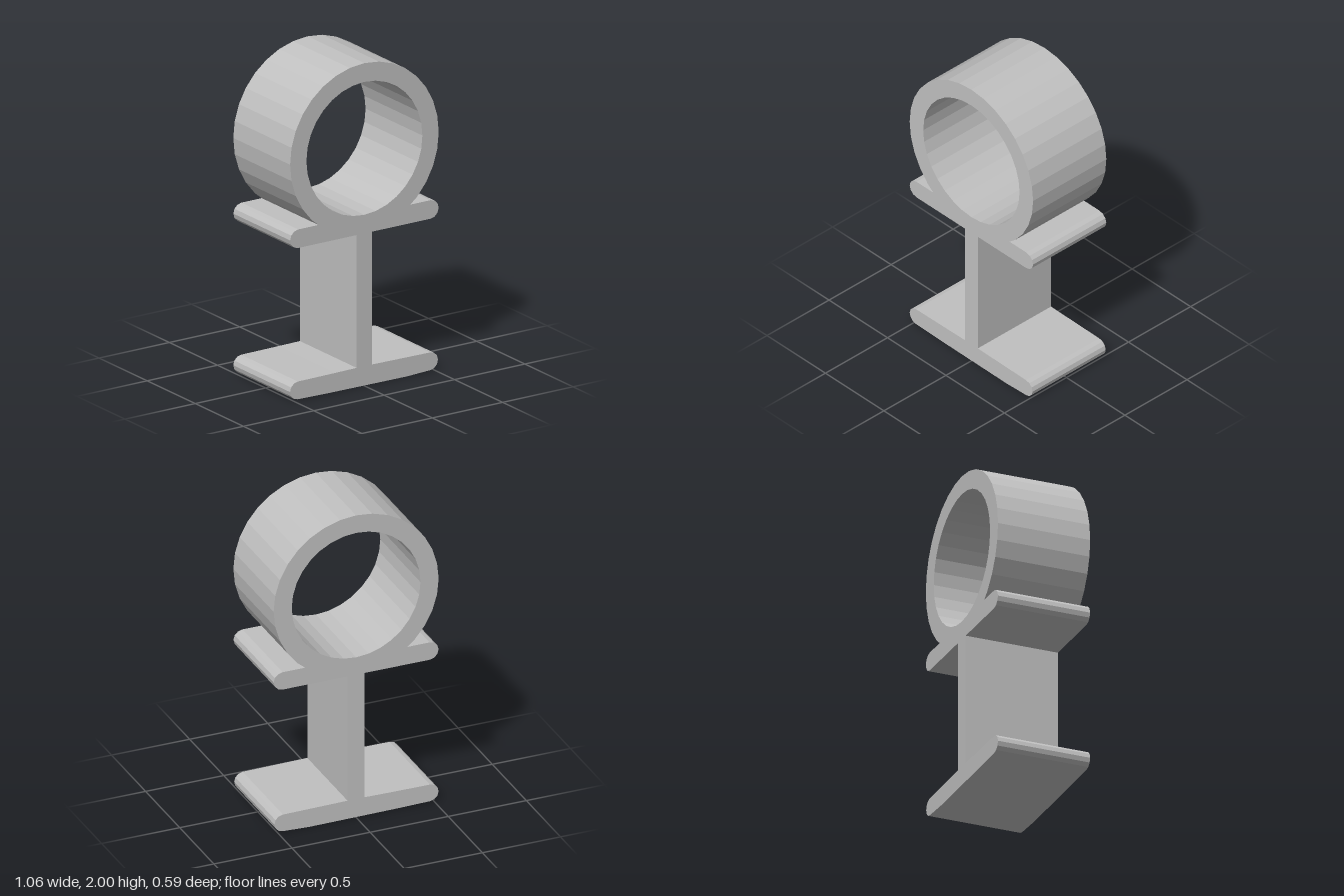
import * as THREE from 'three';

const DEPTH = 0.59;
const RING_Y = 1.472;

// Points along an arc, angles in degrees
function arc(cx, cy, r, from, to, segments) {
  const points = [];
  for (let i = 0; i <= segments; i++) {
    const a = THREE.MathUtils.degToRad(from + ((to - from) * i) / segments);
    points.push(new THREE.Vector2(cx + r * Math.cos(a), cy + r * Math.sin(a)));
  }
  return points;
}

const p = (x, y) => new THREE.Vector2(x, y);

export function createModel() {
  const group = new THREE.Group();
  group.name = 'ringStand';
  const grey = new THREE.MeshStandardMaterial({ color: 0xc0c0c0 });
  grey.name = 'plain grey';

  // One continuous section, counterclockwise from the underside of the foot
  const outline = [
    p(-0.25, 0.004), p(0.3, 0),
    // right end of the foot, then up the web
    ...arc(0.468, 0.062, 0.055, -90, 90, 6),
    p(0.21, 0.12), p(0.055, 0.122), p(0.055, 0.945),
    // right end of the upper flange
    ...arc(0.47, 1.0025, 0.0575, -90, 90, 6),
    // outside of the ring
    p(0.326, 1.06),
    ...arc(0, RING_Y, 0.528, -45, 225, 24),
    p(-0.326, 1.06),
    // left end of the upper flange, then down the web
    ...arc(-0.47, 1.0025, 0.0575, 90, 270, 6),
    p(-0.055, 0.945), p(-0.055, 0.122), p(-0.21, 0.12),
    // left end of the foot
    ...arc(-0.473, 0.063, 0.055, 90, 270, 6),
  ];
  const section = new THREE.Shape(outline);

  // Ring opening
  section.holes.push(new THREE.Path(arc(0, RING_Y, 0.412, 360, 11.25, 31)));

  const geometry = new THREE.ExtrudeGeometry(section, { depth: DEPTH, bevelEnabled: false });
  geometry.translate(0, 0, -DEPTH / 2);
  const body = new THREE.Mesh(geometry, grey);
  body.name = 'ringAndBeamBody';
  group.add(body);
  return group;
}
